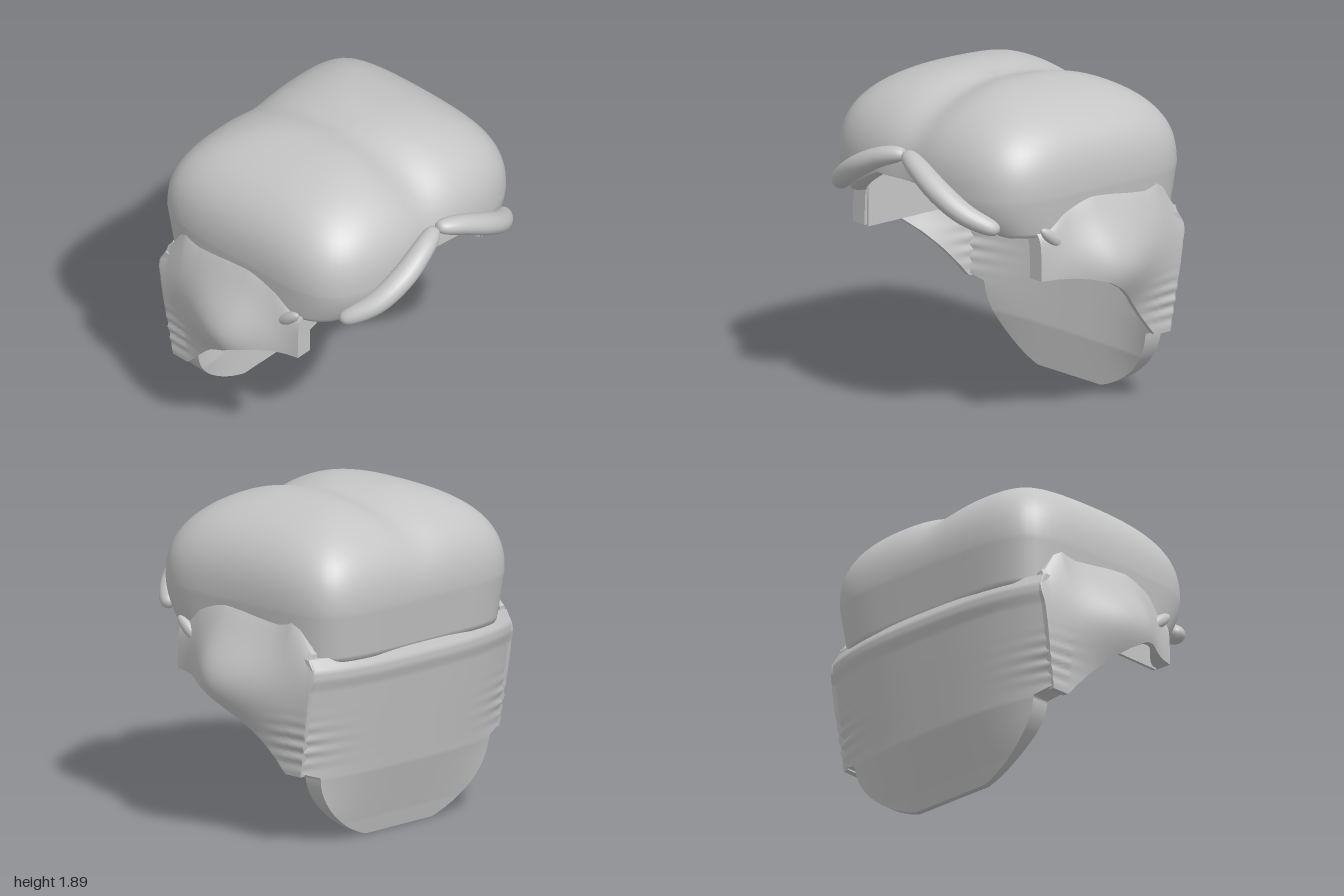
import * as THREE from 'three';
import { mergeVertices } from 'three/addons/utils/BufferGeometryUtils.js';

const grey = new THREE.MeshStandardMaterial({ color: 0xc4c4c4, side: THREE.DoubleSide });
grey.name = 'plain grey';

const { lerp, clamp, smoothstep } = THREE.MathUtils;
const bell = (d, sigma) => Math.exp(-(d * d) / (2 * sigma * sigma));

// piecewise-linear lookup through [position, value] pairs in rising order
function lookup(pairs, p) {
  if (p <= pairs[0][0]) return pairs[0][1];
  for (let i = 1; i < pairs.length; i++) {
    const [a, va] = pairs[i - 1], [b, vb] = pairs[i];
    if (p <= b) return lerp(va, vb, (p - a) / (b - a));
  }
  return pairs[pairs.length - 1][1];
}

function mesh(name, geometry) {
  const m = new THREE.Mesh(geometry, grey);
  m.name = name;
  return m;
}

// subdivided box whose unit coordinates are bent by a rule
function slab(nx, ny, nz, rule) {
  const g = new THREE.BoxGeometry(1, 1, 1, nx, ny, nz);
  const p = g.attributes.position;
  for (let i = 0; i < p.count; i++) {
    p.setXYZ(i, ...rule(p.getX(i) + 0.5, p.getY(i) + 0.5, p.getZ(i) + 0.5));
  }
  g.computeVertexNormals();
  return g;
}

// join seams so the normals run smoothly across them
function smooth(g) {
  g.deleteAttribute('uv');
  g.deleteAttribute('normal');
  const merged = mergeVertices(g, 1e-5);
  merged.computeVertexNormals();
  return merged;
}

// broad two-lobed crown with an arched front rim, open underneath
function crownGeometry() {
  const cols = 128, dome = 28, skirt = 10, rows = dome + skirt + 3, base = 1.38;
  const g = new THREE.SphereGeometry(1, cols, rows);
  const p = g.attributes.position;
  for (let i = 0; i < p.count; i++) {
    const row = Math.floor(i / (cols + 1)), a = ((i % (cols + 1)) % cols) / cols * Math.PI * 2;
    const c = -Math.cos(a), s = Math.sin(a);
    const ang = Math.min(row / dome, 1) * Math.PI / 2;
    // the sides are squarer than the sloping forehead
    const bend = lerp(0.72, s > 0 ? 1.1 : 0.9, s * s);
    let f = Math.pow(Math.sin(ang), bend);
    const h = row >= dome ? 0 : Math.pow(Math.cos(ang), 0.8);
    const n = 4.1 + (s < 0 ? 3 * Math.min(s * s, 0.5) : 0) - 1.1 * (1 - f);
    const r = 1 / Math.pow(Math.abs(c) ** n + Math.abs(s) ** n, 1 / n);
    const ax = Math.abs(c * r * 0.82);
    const rim = s > 0 ? clamp(1.5 - 0.52 * ax, 1.15, 1.37) : lerp(1.15, 1.09, Math.min(1, -s * 2));
    let y = base + 0.525 * h;
    if (row > dome) y = lerp(base, rim, Math.min(1, (row - dome) / skirt));
    const low = Math.max(0, base - y) / 0.23;
    const depth = s > 0 ? 0.68 - 0.09 * low * low : 0.805 - 0.03 * low;
    const width = 0.82 - 0.025 * low;
    // the last rows turn the rim inward
    const inner = row - dome - skirt;
    if (inner > 0) f = inner === 1 ? 0.96 : 0.9;
    if (inner === 1) y -= 0.008;
    const x = c * r * f * width;
    const cleft = bell(x, 0.1);
    const z = s * r * f * depth * (s > 0 ? 1 - 0.03 * cleft : 1);
    p.setXYZ(i, x, y - 0.045 * cleft * h, z);
  }
  return smooth(g);
}

const curtainBack = [[0, -0.575], [0.1, -0.6], [0.4, -0.69], [0.8, -0.757], [0.94, -0.78],
  [1.0, -0.8], [1.05, -0.8], [1.12, -0.76]];
const curtainFront = [[0, -0.54], [0.25, -0.545], [0.45, -0.58], [0.8, -0.64], [1.12, -0.66]];
const pleat = (y) => 0.008 * Math.sin(y * 85) * bell(y - 0.6, 0.09);
const curtainHalfWidth = (y) => y < 0.41
  ? 0.24 + 0.45 * Math.pow(1 - (1 - y / 0.42) ** 2, 0.75)
  : lerp(0.69, 0.81, Math.min(1, (y - 0.41) / 0.04));

// neck curtain hanging from the back, rounded off at the bottom
function curtainGeometry() {
  return slab(64, 100, 1, (u, v, w) => {
    const y = 0.005 + 1.115 * Math.pow(v, 1.3);
    const x = (2 * u - 1) * curtainHalfWidth(y);
    const q = Math.abs(x) / 0.82;
    const corner = 0.12 * q ** 3 * smoothstep(y, 0, 0.5);
    const z = lerp(lookup(curtainBack, y), lookup(curtainFront, y), w);
    return [x, y, z + corner + pleat(y) * q ** 6];
  });
}

const panelTop = [[-0.7, 1.13], [-0.63, 1.16], [-0.5, 1.36], [-0.4, 1.32], [-0.25, 1.33],
  [0, 1.37], [0.2, 1.34], [0.3, 1.2], [0.37, 1.18]];
const panelBottom = [[-0.47, 0.43], [-0.4, 0.51], [-0.3, 0.62], [-0.2, 0.72], [-0.1, 0.8],
  [0, 0.86], [0.1, 0.89], [0.2, 0.9], [0.37, 0.9]];

// bulging cheek panel with a swept lower edge, thickest at its front tab
function cheekGeometry(side) {
  return slab(1, 48, 64, (u, v, w) => {
    const t = side > 0 ? u : 1 - u;
    let z = lerp(-0.7, 0.37, w);
    const y = lerp(lookup(panelBottom, z), lookup(panelTop, z), v);
    const swell = 0.19 * bell(y - 0.93, 0.2) * bell(z + 0.07, z > -0.07 ? 0.2 : 0.27);
    const fold = pleat(y) * bell(z + 0.55, 0.1);
    const thick = lerp(0.035, 0.1, smoothstep(z, 0.1, 0.36));
    z = Math.max(z, lookup(curtainBack, y) + 0.11);
    const x = 0.812 - 0.02 * smoothstep(z, 0, 0.3) + swell + fold - 0.04 * Math.pow(v, 8) - thick * (1 - t);
    return [side * x, y, z];
  });
}

// sloped lining that closes the crown and runs down to the curtain
function liningGeometry() {
  const arc = new THREE.QuadraticBezierCurve(
    new THREE.Vector2(-0.55, 0.88), new THREE.Vector2(-0.3, 1.37), new THREE.Vector2(0.58, 1.38));
  return slab(12, 30, 1, (u, v, w) => {
    const q = arc.getPoint(v);
    const half = Math.min(0.7, 0.74 * Math.pow(1 - Math.max(0, q.x / 0.61) ** 4, 0.25));
    return [lerp(-half, half, u), q.y + 0.02 * (1 - w) * v, q.x - 0.1 * (1 - w) * (1 - v)];
  });
}

// tapered roll along the front rim
function browGeometry(side) {
  const path = new THREE.CatmullRomCurve3([
    [0.002, 1.535, 0.68], [0.16, 1.49, 0.725], [0.34, 1.4, 0.738], [0.52, 1.29, 0.69], [0.68, 1.2, 0.57],
  ].map(([x, y, z]) => new THREE.Vector3(side * x, y, z)));
  const rows = 60, sides = 20;
  const g = new THREE.TubeGeometry(path, rows, 1, sides);
  const p = g.attributes.position, v = new THREE.Vector3();
  for (let i = 0; i < p.count; i++) {
    const t = Math.floor(i / (sides + 1)) / rows, c = path.getPointAt(t);
    const r = 0.064 * Math.sqrt(Math.max(0, 1 - Math.abs(2 * t - 1) ** 12)) * (0.72 + 0.28 * Math.sin(Math.PI * t));
    v.fromBufferAttribute(p, i).sub(c).multiplyScalar(r);
    p.setXYZ(i, c.x + v.x, c.y + v.y, c.z + v.z * 1.15);
  }
  return smooth(g);
}

export function createModel() {
  const model = new THREE.Group();
  model.name = 'headgear';
  model.add(mesh('crown', crownGeometry()));
  model.add(mesh('lining', liningGeometry()));
  model.add(mesh('neckCurtain', curtainGeometry()));

  for (const [side, label] of [[1, 'left'], [-1, 'right']]) {
    model.add(mesh(label + 'CheekPanel', cheekGeometry(side)));
    model.add(mesh(label + 'BrowRoll', browGeometry(side)));
    // flat inner wall beside the face
    const wall = mesh(label + 'InnerWall', new THREE.BoxGeometry(0.02, 0.42, 0.9));
    wall.position.set(side * 0.71, 1.1, -0.1);
    model.add(wall);
    // small teardrop lock at the temple
    const lock = mesh(label + 'TempleLock', new THREE.SphereGeometry(1, 20, 14));
    lock.scale.set(0.03, 0.1, 0.035);
    lock.position.set(side * 0.805, 1.14, 0.29);
    lock.rotation.x = 0.9;
    model.add(lock);
  }
  return model;
}
